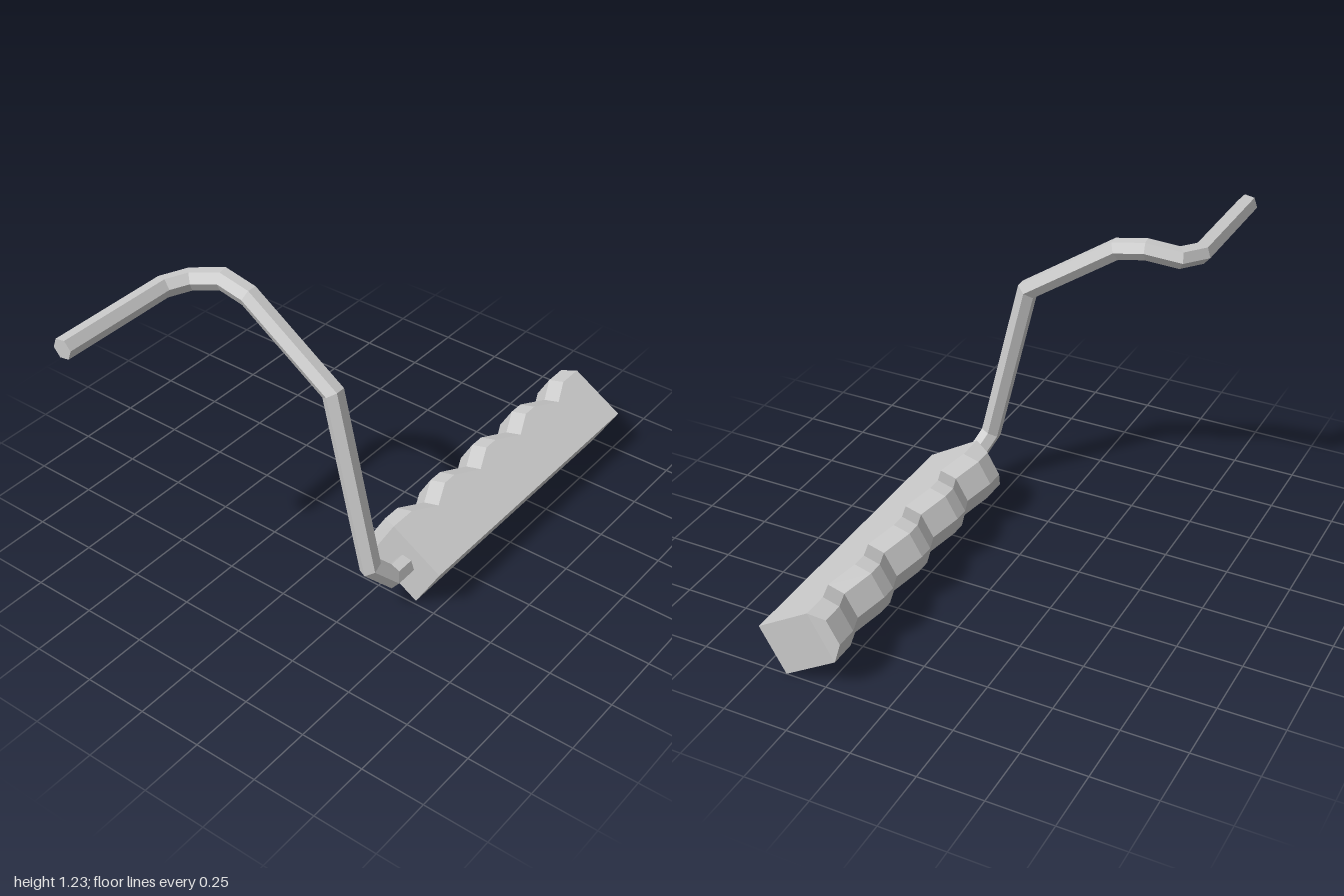
import * as THREE from 'three';

const material = new THREE.MeshStandardMaterial({ color: 0xcccccc, flatShading: true });

// Skin a list of rings (counter-clockwise seen from the first end) and cap both ends.
function loft(name, rings) {
  const pos = [];
  const tri = (...pts) => pts.forEach((p) => pos.push(p.x, p.y, p.z));
  const n = rings[0].length;
  for (let i = 0; i < rings.length - 1; i++) {
    for (let j = 0; j < n; j++) {
      const k = (j + 1) % n;
      const a = rings[i][j], b = rings[i][k], c = rings[i + 1][j], d = rings[i + 1][k];
      tri(a, c, b);
      tri(b, c, d);
    }
  }
  const first = rings[0], last = rings[rings.length - 1];
  for (let j = 1; j < n - 1; j++) {
    tri(first[0], first[j], first[j + 1]);
    tri(last[0], last[j + 1], last[j]);
  }
  const geometry = new THREE.BufferGeometry();
  geometry.setAttribute('position', new THREE.Float32BufferAttribute(pos, 3));
  geometry.computeVertexNormals();
  const mesh = new THREE.Mesh(geometry, material);
  mesh.name = name;
  return mesh;
}

// Hexagonal bar swept along a polyline with mitred corners.
function makeRod() {
  const path = [
    [-0.475, 1.157, 1], [-0.475, 1.157, 0.52], [-0.425, 1.165, 0.435],
    [-0.31, 1.19, 0.397], [-0.195, 1.167, 0.397], [0.165, 0.92, 0.397],
    [0.33, 0.24, 0.405], [0.365, 0.158, 0.325], [0.357, 0.148, 0.2],
  ].map((p) => new THREE.Vector3(...p));
  const dir = (i) => path[i + 1].clone().sub(path[i]).normalize();

  let ring = [];
  for (let k = 0; k < 6; k++) {
    const a = THREE.MathUtils.degToRad(10 + 60 * k);
    ring.push(new THREE.Vector3(0.04 * Math.cos(a), 0.04 * Math.sin(a), 0).add(path[0]));
  }
  const rings = [ring];
  for (let i = 1; i < path.length; i++) {
    const d = dir(i - 1);
    const normal = i < path.length - 1 ? d.clone().add(dir(i)) : d.clone();
    // Slide each corner along the segment onto the mitre plane.
    ring = ring.map((p) => {
      const t = path[i].clone().sub(p).dot(normal) / d.dot(normal);
      return p.clone().addScaledVector(d, t);
    });
    rings.push(ring);
  }
  return loft('crankRod', rings);
}

// Tilted block grip; its chamfered finger side is pressed in at each groove.
function makeGrip() {
  const front = 0.235, back = -1;
  const section = [
    [0.305, 0.3], [0.24, 0.282], [0.19, 0.195], [0.205, 0.125], // finger side
    [0.41, 0], [0.51, 0.175], // plain side
  ];
  const ringAt = (z, press, bevel = 0) => section.map(([x, y], k) => {
    const s = k < 4 ? press : 0;
    const dz = k === 1 || k === 2 ? bevel : 0;
    return new THREE.Vector3(x + 0.041 * s, y - 0.025 * s, z + dz);
  });
  const rings = [ringAt(front, 0, -0.035), ringAt(0.125, 0)];
  for (let i = 0; i < 4; i++) {
    const groove = 0.015 - 0.272 * i;
    rings.push(ringAt(groove, 1), ringAt(groove - 0.097, 0));
    if (i < 3) rings.push(ringAt(groove - 0.157, 0));
  }
  rings.push(ringAt(back, 0, 0.015));
  return loft('fingerGrip', rings);
}

export function createModel() {
  const model = new THREE.Group();
  model.name = 'crankHandle';
  model.add(makeRod(), makeGrip());
  return model;
}
